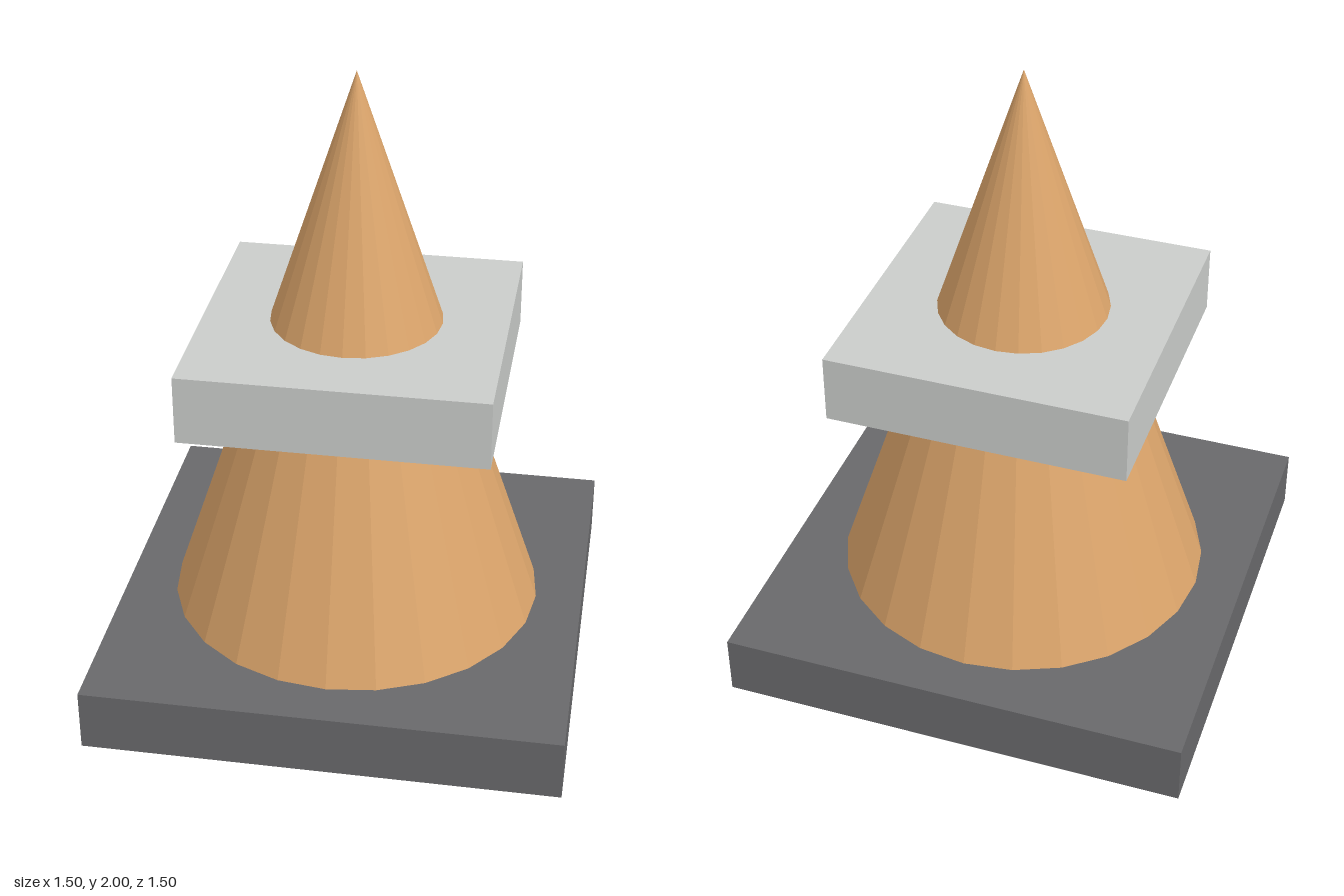
import * as THREE from 'three';

export function createModel() {
  const group = new THREE.Group();
  const material = (name, color) => {
    const m = new THREE.MeshStandardMaterial({ color, flatShading: true });
    m.name = name;
    return m;
  };
  const add = (name, geometry, mat, y) => {
    const mesh = new THREE.Mesh(geometry, mat);
    mesh.name = name;
    mesh.position.y = y;
    group.add(mesh);
  };

  // Square foot plate
  add('base', new THREE.BoxGeometry(1.5, 0.2, 1.5), material('darkGrey', 0x69696b), 0.1);

  // Faceted cone standing on the foot plate
  add('cone', new THREE.ConeGeometry(0.6, 1.8, 24), material('orangeTan', 0xdca56b), 1.1);

  // Square band around the middle of the cone
  add('collar', new THREE.BoxGeometry(0.95, 0.22, 0.95), material('lightGrey', 0xcaccca), 1.08);

  return group;
}
